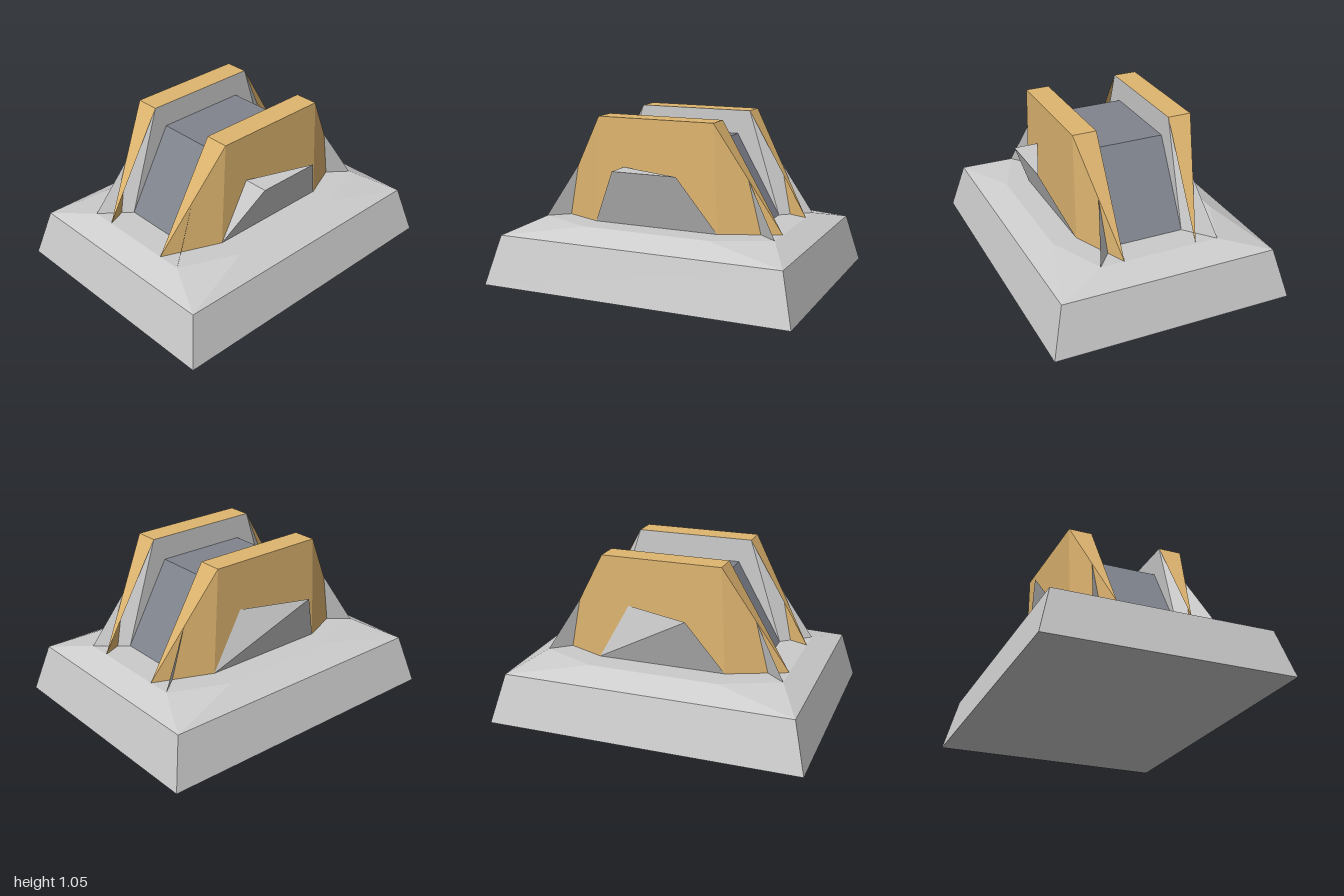
import * as THREE from 'three';

const material = (color) =>
  new THREE.MeshStandardMaterial({ color, flatShading: true, side: THREE.DoubleSide });
const grey = material(0xcccccc);
const slate = material(0x80848e);
const amber = material(0xdfb56f);

// Mesh from flat convex faces, each a loop of [x, y, z] corners
function facets(name, faces, mat) {
  const pos = [];
  for (const f of faces) {
    for (let i = 1; i < f.length - 1; i++) pos.push(...f[0], ...f[i], ...f[i + 1]);
  }
  const g = new THREE.BufferGeometry();
  g.setAttribute('position', new THREE.Float32BufferAttribute(pos, 3));
  g.computeVertexNormals();
  const mesh = new THREE.Mesh(g, mat);
  mesh.name = name;
  return mesh;
}

// Closed solid through stacked horizontal rings, counterclockwise from above
function loft(name, rings, mat) {
  const faces = [[...rings[0]].reverse(), rings[rings.length - 1]];
  for (let r = 0; r < rings.length - 1; r++) {
    const lo = rings[r], hi = rings[r + 1], n = lo.length;
    for (let i = 0; i < n; i++) {
      const j = (i + 1) % n;
      faces.push([lo[i], lo[j], hi[j], hi[i]]);
    }
  }
  return facets(name, faces, mat);
}

// Eight-point ring: long corners (x1, z1) and side corners (x2, z2)
const ring = (y, x1, z1, x2 = x1, z2 = z1) => [
  [x1, y, z1], [x2, y, z2], [x2, y, -z2], [x1, y, -z1],
  [-x1, y, -z1], [-x2, y, -z2], [-x2, y, z2], [-x1, y, z1],
];
const rect = (y, x, z) => [[x, y, z], [x, y, -z], [-x, y, -z], [-x, y, z]];

const FLOOR = 0.385, TOP = 1.05, IN = 0.235, OUT = 0.385;

// One side panel: amber shell with folded ends, grey lining and crossing fins
function sidePanel(s) {
  const group = new THREE.Group();
  group.name = s > 0 ? 'leftPanel' : 'rightPanel';
  const corners = (e) => ({
    outerTop: [s * OUT, TOP, e * 0.38],
    innerTop: [s * IN, TOP, e * 0.38],
    outerFoot: [s * OUT, FLOOR, e * 0.41],
    innerFoot: [s * IN, FLOOR, e * 0.59],
    amberTip: [s * IN, FLOOR, e * 0.77],
    finTip: [s * OUT, FLOOR, e * 0.77],
  });
  const f = corners(1), b = corners(-1);
  const shell = [
    [f.outerTop, b.outerTop, b.innerTop, f.innerTop],
    [f.outerTop, f.outerFoot, b.outerFoot, b.outerTop],
  ];
  const lining = [[f.innerTop, b.innerTop, b.innerFoot, f.innerFoot]];
  for (const c of [f, b]) {
    shell.push([c.outerTop, c.innerTop, c.amberTip], [c.outerTop, c.amberTip, c.outerFoot]);
    lining.push([c.innerTop, c.innerFoot, c.finTip]);
  }
  group.add(facets('panelShell', shell, amber), facets('panelLining', lining, grey));
  return group;
}

export function createModel() {
  const model = new THREE.Group();

  // Plinth with bevelled upper step
  model.add(loft('base', [
    ring(0, 0.77, 1),
    ring(0.31, 0.69, 0.92),
    ring(FLOOR, OUT, 0.77, 0.54, 0.41),
  ], grey));

  // Sloped block between the panels
  model.add(loft('centreBlock', [rect(FLOOR, IN, 0.59), rect(0.9, IN, 0.3)], slate));

  model.add(sidePanel(1), sidePanel(-1));

  // Open flared pockets on the outer sides
  const foot = (s, e) => [s * OUT, FLOOR, e * 0.41];
  const inner = (s, e) => [s * OUT, 0.745, e * 0.21];
  const lip = (s, e) => [s * 0.54, 0.745, e * 0.21];
  model.add(facets('leftPocket', [
    [foot(1, 1), foot(1, -1), lip(1, -1), lip(1, 1)],
    [foot(1, 1), lip(1, 1), inner(1, 1)],
    [inner(1, 1), lip(1, 1), lip(1, -1)],
  ], grey));
  model.add(facets('rightPocket', [
    [foot(-1, -1), foot(-1, 1), lip(-1, 1)],
    [foot(-1, -1), lip(-1, 1), inner(-1, -1)],
  ], grey));

  return model;
}
